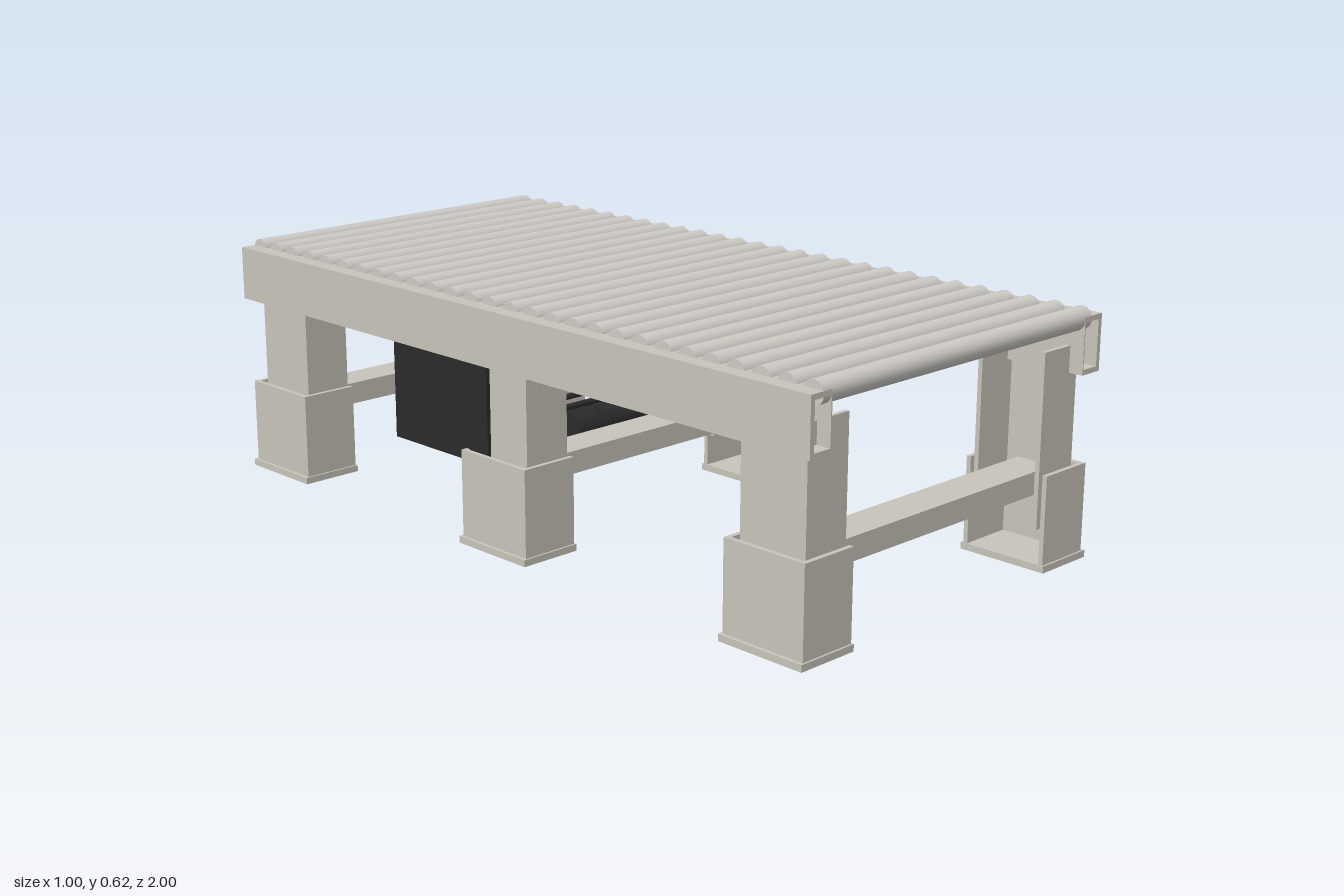
import * as THREE from 'three';

const frameMat = new THREE.MeshStandardMaterial({ name: 'frame beige', color: 0xc8c4bb });
const rollerMat = new THREE.MeshStandardMaterial({ name: 'roller pale grey', color: 0xcecbc5 });
const blackMat = new THREE.MeshStandardMaterial({ name: 'drive black', color: 0x2b2b2b });

// Box given by its limits on each axis
function box(parent, name, mat, [x0, x1], [y0, y1], [z0, z1]) {
  const m = new THREE.Mesh(new THREE.BoxGeometry(Math.abs(x1 - x0), y1 - y0, z1 - z0), mat);
  m.name = name;
  m.position.set((x0 + x1) / 2, (y0 + y1) / 2, (z0 + z1) / 2);
  parent.add(m);
  return m;
}

// Cylinder lying along x
function rod(parent, name, mat, r, x0, x1, y, z, sides = 24) {
  const geo = new THREE.CylinderGeometry(r, r, Math.abs(x1 - x0), sides).rotateZ(Math.PI / 2);
  const m = new THREE.Mesh(geo, mat);
  m.name = name;
  m.position.set((x0 + x1) / 2, y, z);
  parent.add(m);
  return m;
}

// Upright channel, open towards the middle of the model
function channel(parent, name, s, xIn, xOut, y, z, halfWidth, t) {
  box(parent, name + 'Web', frameMat, [s * (xOut - t), s * xOut], y, [z - halfWidth, z + halfWidth]);
  for (const e of [-1, 1]) {
    const c = z + e * (halfWidth - t / 2);
    box(parent, name + 'Flange', frameMat, [s * xIn, s * (xOut - t)], y, [c - t / 2, c + t / 2]);
  }
}

export function createModel() {
  const model = new THREE.Group();
  model.name = 'rollerConveyor';

  // Rollers
  const rollers = new THREE.Group();
  rollers.name = 'rollers';
  model.add(rollers);
  const count = 28, pitch = 1.944 / (count - 1);
  for (let i = 0; i < count; i++) {
    rod(rollers, 'roller', rollerMat, 0.028, -0.463, 0.463, 0.59, -0.972 + i * pitch);
  }

  for (const s of [-1, 1]) {
    // Side rails
    const rail = new THREE.Group();
    rail.name = s > 0 ? 'leftRail' : 'rightRail';
    model.add(rail);
    const len = [-1, 1];
    box(rail, 'railWeb', frameMat, [s * 0.49, s * 0.502], [0.46, 0.598], len);
    box(rail, 'railTopFlange', frameMat, [s * 0.437, s * 0.49], [0.585, 0.598], len);
    box(rail, 'railBottomFlange', frameMat, [s * 0.437, s * 0.49], [0.46, 0.473], len);
    box(rail, 'railInnerLip', frameMat, [s * 0.437, s * 0.44], [0.473, 0.585], len);

    // Telescopic legs with foot plates
    for (const z of [-0.87, 0, 0.87]) {
      const leg = new THREE.Group();
      leg.name = 'leg';
      model.add(leg);
      channel(leg, 'upperLeg', s, 0.34, 0.466, [0.1, 0.525], z, 0.093, 0.012);
      channel(leg, 'lowerLeg', s, 0.34, 0.493, [0.017, 0.235], z, 0.115, 0.012);
      box(leg, 'footPlate', frameMat, [s * 0.337, s * 0.502], [0, 0.017], [z - 0.12, z + 0.12]);
    }

    // Chain guards and their pulleys
    const guard = new THREE.Group();
    guard.name = s > 0 ? 'leftGuard' : 'rightGuard';
    model.add(guard);
    box(guard, 'guardBox', blackMat, [s * 0.342, s * 0.476], [0.205, 0.475], [-0.39, -0.037]);
    box(guard, 'bearingPlate', blackMat, [s * 0.334, s * 0.342], [0.215, 0.4], [-0.34, -0.09]);
    for (const [y, z, r] of [[0.345, -0.18, 0.045], [0.255, -0.253, 0.025]]) {
      rod(guard, 'bearing', blackMat, r, s * 0.322, s * 0.336, y, z);
      rod(guard, 'bearingCap', blackMat, r * 0.85, s * 0.314, s * 0.322, y, z);
    }
  }

  // Cross bars between the legs
  for (const z of [-0.87, 0, 0.87]) {
    box(model, 'crossBar', frameMat, [-0.454, 0.454], [0.165, 0.222], [z - 0.05, z + 0.05]);
  }

  // Drive shafts
  for (const z of [-0.18, -0.253]) rod(model, 'driveShaft', blackMat, 0.008, -0.34, 0.34, 0.247, z, 16);

  // Gear motor
  const motor = new THREE.Group();
  motor.name = 'gearMotor';
  model.add(motor);
  rod(motor, 'fanCover', blackMat, 0.049, -0.093, -0.053, 0.185, -0.185);
  rod(motor, 'motorBody', blackMat, 0.045, -0.053, 0.04, 0.185, -0.185);
  rod(motor, 'motorFlange', blackMat, 0.05, 0, 0.04, 0.185, -0.185);
  rod(motor, 'motorNeck', blackMat, 0.041, 0.04, 0.14, 0.186, -0.185);
  box(motor, 'terminalBox', blackMat, [-0.04, 0.03], [0.155, 0.215], [-0.255, -0.2]);
  box(motor, 'gearBox', blackMat, [0.14, 0.157], [0.145, 0.23], [-0.25, -0.135]);
  box(motor, 'gearHousing', blackMat, [0.157, 0.332], [0.14, 0.23], [-0.322, -0.135]);
  rod(motor, 'outputShaft', blackMat, 0.015, 0.332, 0.35, 0.215, -0.253, 16);

  return model;
}
